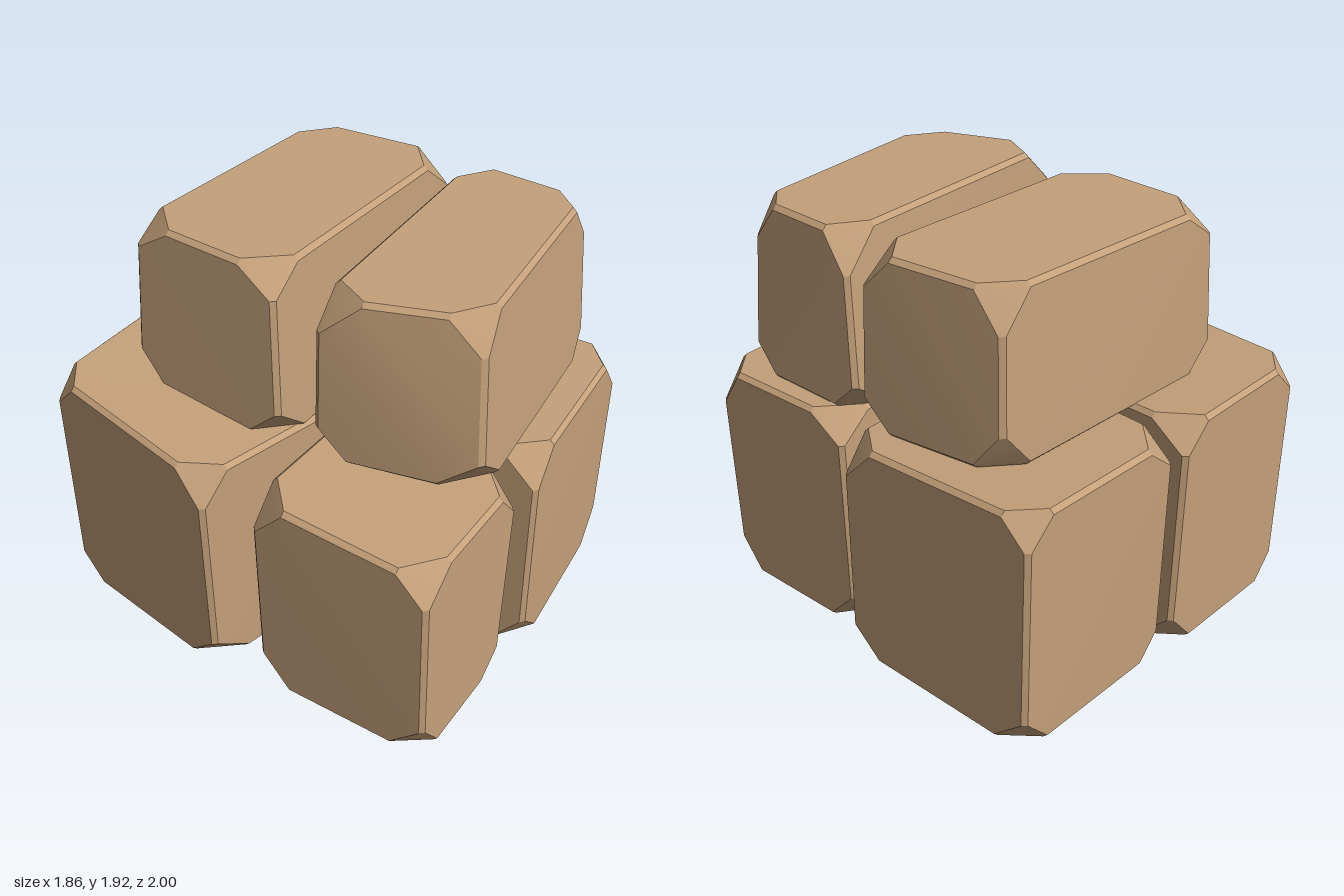
import * as THREE from 'three';
import { toCreasedNormals } from 'three/addons/utils/BufferGeometryUtils.js';
import { ConvexGeometry } from 'three/addons/geometries/ConvexGeometry.js';

// Each block: base and top corners as [x, z] in the order
// back left, back right, front right, front left (as seen from the front),
// with bottom and top heights at the back and at the front.
const BLOCKS = [
  { name: 'lowerBackStoneA',
    base: [[-0.87, -0.94], [-0.10, -0.99], [-0.08, 0.11], [-0.93, -0.02]],
    top: [[-0.87, -0.94], [-0.10, -1.0], [-0.07, 0.13], [-0.94, -0.02]],
    bottomY: [0.03, 0.03], topY: [1.21, 1.14] },
  { name: 'lowerBackStoneB',
    base: [[-0.07, -0.95], [0.78, -1.0], [0.90, -0.02], [-0.07, 0.11]],
    top: [[-0.06, -0.97], [0.77, -1.0], [0.89, -0.02], [-0.06, 0.09]],
    bottomY: [0.02, 0.02], topY: [1.18, 1.12] },
  { name: 'lowerFrontStoneA',
    base: [[-0.85, 0.18], [-0.15, 0.15], [-0.13, 0.95], [-0.77, 1.0]],
    top: [[-0.87, 0.18], [-0.10, 0.14], [-0.05, 0.93], [-0.78, 0.99]],
    bottomY: [0.03, 0.03], topY: [1.12, 1.06] },
  { name: 'lowerFrontStoneB',
    base: [[-0.12, 0.22], [0.81, 0.08], [0.92, 0.83], [0.03, 0.98]],
    top: [[-0.05, 0.22], [0.82, 0.08], [0.93, 0.83], [0.03, 0.97]],
    bottomY: [0.01, 0.01], topY: [1.13, 1.12] },
  { name: 'upperFrontStone',
    base: [[-0.53, 0.23], [0.75, 0.05], [0.82, 0.70], [-0.30, 0.91]],
    top: [[-0.55, 0.27], [0.72, 0.11], [0.76, 0.66], [-0.26, 0.85]],
    bottomY: [1.13, 1.12], topY: [1.93, 1.92] },
  { name: 'upperBackStone',
    base: [[-0.60, -0.69], [0.64, -0.72], [0.77, 0.0], [-0.56, 0.08]],
    top: [[-0.55, -0.67], [0.60, -0.67], [0.74, -0.02], [-0.51, 0.03]],
    bottomY: [1.17, 1.12], topY: [1.93, 1.92] },
];

const EDGE = 0.02; // narrow bevel along the edges

function seeded(seed) {
  return () => (seed = (seed * 16807) % 2147483647) / 2147483647;
}

// Position inside a block from u, v, w in 0..1 (right, up, front)
function blockPoint(b, u, v, w) {
  const lerp = THREE.MathUtils.lerp;
  const onQuad = (q, k) =>
    lerp(lerp(q[0][k], q[1][k], u), lerp(q[3][k], q[2][k], u), w);
  return new THREE.Vector3(
    lerp(onQuad(b.base, 0), onQuad(b.top, 0), v),
    lerp(lerp(b.bottomY[0], b.bottomY[1], w), lerp(b.topY[0], b.topY[1], w), v),
    lerp(onQuad(b.base, 1), onQuad(b.top, 1), v)
  );
}

// Hewn block: bevelled edges and every corner cut off at a slant
function stoneGeometry(b, random) {
  const middle = (u, v, w) => blockPoint(b, u, v, w);
  const size = [
    middle(0, 0.5, 0.5).distanceTo(middle(1, 0.5, 0.5)),
    middle(0.5, 0, 0.5).distanceTo(middle(0.5, 1, 0.5)),
    middle(0.5, 0.5, 0).distanceTo(middle(0.5, 0.5, 1)),
  ];
  const orders = [[0, 1, 2], [0, 2, 1], [1, 0, 2], [1, 2, 0], [2, 0, 1], [2, 1, 0]];
  const points = [];
  for (let corner = 0; corner < 8; corner++) {
    const side = [corner & 1, (corner >> 1) & 1, (corner >> 2) & 1];
    const cuts = [0, 1, 2].map(() => 0.12 + 0.06 * random());
    for (const [flat, bevel, cut] of orders) {
      const inset = [0, 0, 0];
      inset[flat] = 0;
      inset[bevel] = EDGE;
      inset[cut] = cuts[cut];
      const uvw = side.map((s, i) => (s ? 1 - inset[i] / size[i] : inset[i] / size[i]));
      points.push(blockPoint(b, ...uvw));
    }
  }
  return toCreasedNormals(new ConvexGeometry(points), 0.4);
}

export function createModel() {
  const group = new THREE.Group();
  group.name = 'stonePile';
  const sandstone = new THREE.MeshStandardMaterial({ color: 0xc4a07a });
  sandstone.name = 'sandstone';
  const random = seeded(71);

  for (const block of BLOCKS) {
    const stone = new THREE.Mesh(stoneGeometry(block, random), sandstone);
    stone.name = block.name;
    group.add(stone);
  }
  return group;
}
